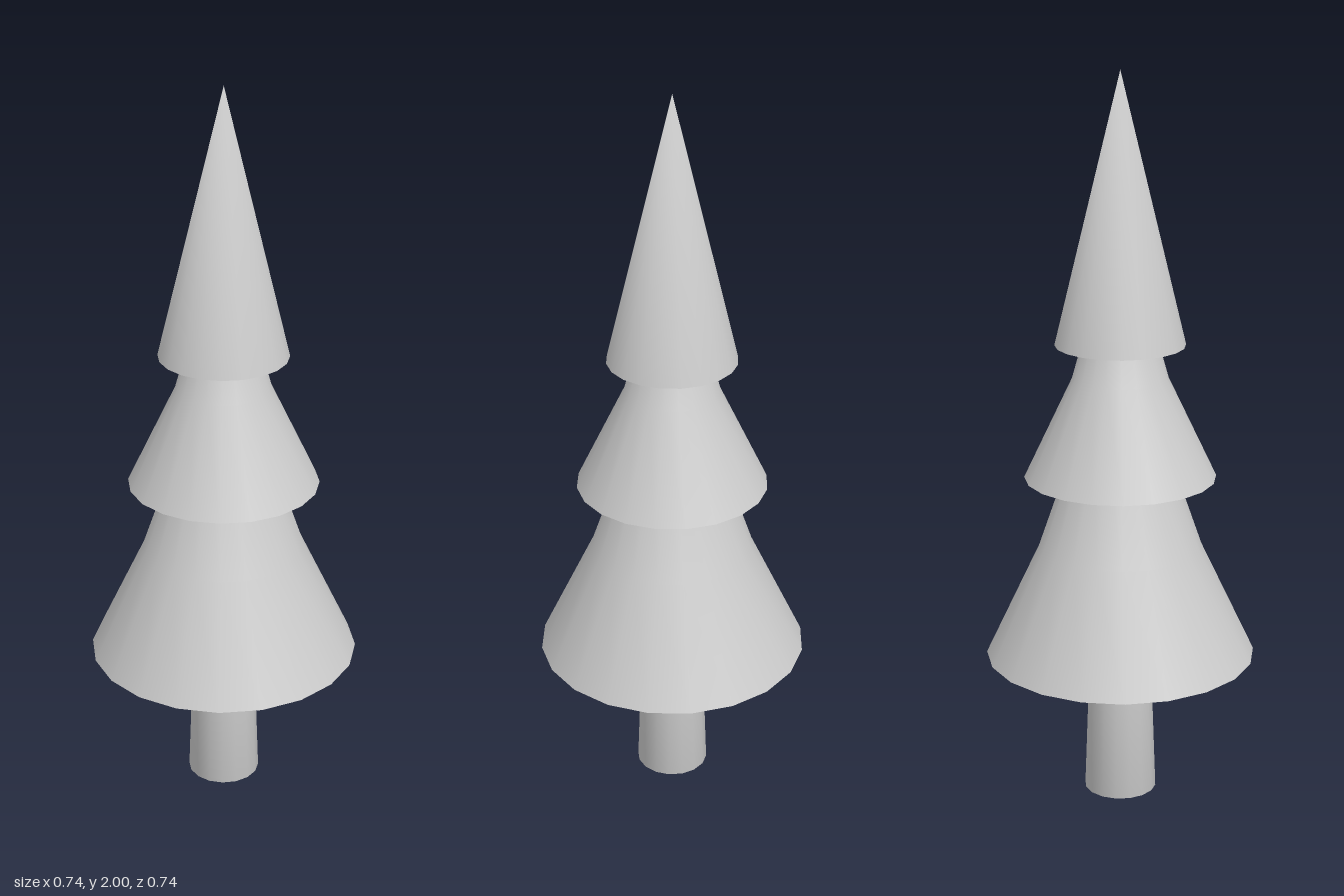
import * as THREE from 'three';
import { mergeVertices } from 'three/addons/utils/BufferGeometryUtils.js';

const material = new THREE.MeshStandardMaterial({ color: 0xcccccc, side: THREE.DoubleSide });

// Revolve a profile of [radius, height] pairs, listed bottom to top, fully smoothed
function turned(name, profile, sides) {
  const points = profile.map(([r, y]) => new THREE.Vector2(r, y));
  let geometry = new THREE.LatheGeometry(points, sides);
  geometry.deleteAttribute('uv');
  geometry.deleteAttribute('normal');
  geometry = mergeVertices(geometry, 1e-4);
  geometry.computeVertexNormals();
  const mesh = new THREE.Mesh(geometry, material);
  mesh.name = name;
  return mesh;
}

export function createModel() {
  const tree = new THREE.Group();
  tree.name = 'tree';

  // Tapered trunk, closed underneath and running up inside the foliage
  tree.add(turned('trunk', [[0, 0], [0.1, 0], [0.085, 0.41], [0.07, 0.8]], 16));

  // Hollow foliage tiers, each tucked into the one above
  tree.add(turned('lowerFoliage', [[0.37, 0.408], [0.222, 0.72], [0.125, 1.0]], 20));
  tree.add(turned('middleFoliage', [[0.26, 0.915], [0.129, 1.19], [0.07, 1.4]], 20));
  tree.add(turned('topFoliage', [[0.175, 1.28], [0, 2]], 20));

  return tree;
}
